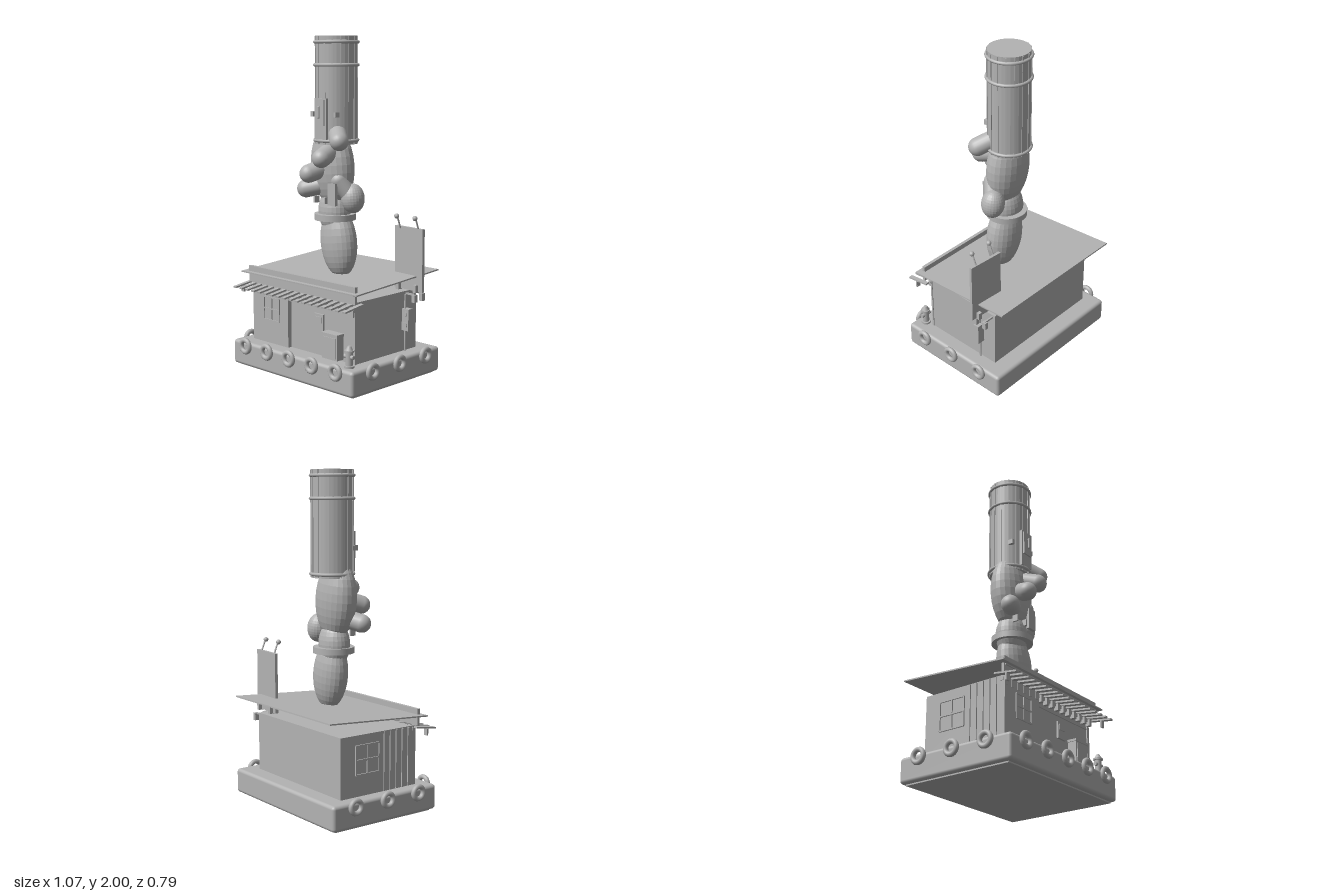
import * as THREE from 'three';
import { RoundedBoxGeometry } from 'three/addons/geometries/RoundedBoxGeometry.js';

export function createModel() {
  const model = new THREE.Group();
  const grey = new THREE.MeshStandardMaterial({ color: 0xb3b3b3 });
  grey.name = 'plain grey';

  const add = (name, geo, x = 0, y = 0, z = 0, parent = model) => {
    const mesh = new THREE.Mesh(geo, grey);
    mesh.name = name;
    mesh.position.set(x, y, z);
    parent.add(mesh);
    return mesh;
  };
  // box given by its limits
  const box = (name, x0, x1, y0, y1, z0, z1, parent = model) =>
    add(name, new THREE.BoxGeometry(x1 - x0, y1 - y0, z1 - z0), (x0 + x1) / 2, (y0 + y1) / 2, (z0 + z1) / 2, parent);
  const cyl = (name, r, y0, y1, x, z, n = 16, r2 = r) =>
    add(name, new THREE.CylinderGeometry(r2, r, y1 - y0, n), x, (y0 + y1) / 2, z);
  const faceted = (geo) => {
    const g = geo.toNonIndexed();
    g.computeVertexNormals();
    return g;
  };
  const ellipsoid = (name, x, y, z, rx, ry, rz, tilt = 0) => {
    const geo = new THREE.SphereGeometry(1, 24, 16).scale(rx, ry, rz).rotateZ(tilt);
    return add(name, faceted(geo), x, y, z);
  };
  // rod or capsule running between two points
  const link = (name, a, b, r, round = true) => {
    const p = new THREE.Vector3(...a), q = new THREE.Vector3(...b), d = q.clone().sub(p);
    const geo = round ? new THREE.CapsuleGeometry(r, d.length(), 8, 20) : new THREE.CylinderGeometry(r, r, d.length(), 10);
    const mesh = add(name, geo);
    mesh.position.copy(p).add(q).multiplyScalar(0.5);
    mesh.quaternion.setFromUnitVectors(new THREE.Vector3(0, 1, 0), d.normalize());
    return mesh;
  };

  // floating base with tyre fenders
  add('base', new RoundedBoxGeometry(1.01, 0.15, 0.76, 3, 0.02), 0, 0.083, -0.01);
  box('baseUnderside', -0.48, 0.48, 0, 0.02, -0.36, 0.34);
  const tyre = new THREE.TorusGeometry(0.037, 0.0145, 10, 24);
  for (let i = -2; i <= 2; i++) add('frontTyre', tyre, i * 0.191, 0.137, 0.38);
  for (const side of [-1, 1]) {
    for (const z of [0.217, -0.012, -0.242]) add('sideTyre', tyre, side * 0.52, 0.137, z).rotation.y = Math.PI / 2;
  }

  // house
  box('house', -0.426, 0.41, 0.15, 0.515, -0.28, 0.245);
  box('frontBay', -0.426, -0.115, 0.155, 0.51, 0.245, 0.272);
  box('shutterRail', -0.115, 0.39, 0.438, 0.446, 0.245, 0.252);
  box('cornerPost', 0.395, 0.415, 0.155, 0.515, 0.24, 0.252);

  // bay window and side window frames
  const windowFrame = (name, w, h) => {
    const g = new THREE.Group();
    g.name = name;
    for (const u of [-1, 0, 1]) {
      box('upright', u * w / 2 - 0.004, u * w / 2 + 0.004, -h / 2, h / 2, 0, 0.008, g);
      box('crossbar', -w / 2, w / 2, u * h / 2 - 0.004, u * h / 2 + 0.004, 0, 0.008, g);
    }
    model.add(g);
    return g;
  };
  windowFrame('bayWindow', 0.135, 0.14).position.set(-0.258, 0.37, 0.27);
  const sideWindow = windowFrame('sideWindow', 0.17, 0.17);
  sideWindow.position.set(-0.426, 0.37, -0.09);
  sideWindow.rotation.y = -Math.PI / 2;
  for (let i = 0; i < 5; i++) box('sideBoard', -0.433, -0.425, 0.16, 0.51, 0.03 + i * 0.045, 0.04 + i * 0.045);

  // sloping roof and its front board
  const roof = add('roof', new THREE.BoxGeometry(0.97, 0.008, 0.713), -0.005, 0.598, -0.045);
  roof.rotation.x = Math.atan2(0.045, 0.71);
  box('roofBoard', -0.448, 0.445, 0.515, 0.58, 0.268, 0.284);
  box('roofBoardCap', -0.448, 0.445, 0.58, 0.615, 0.266, 0.286);
  box('roofBoardRail', -0.44, 0.44, 0.563, 0.57, 0.284, 0.292);

  // slatted awning
  for (let i = 0; i < 18; i++) {
    const x = -0.465 + i * 0.0541;
    add('awningSlat', new THREE.BoxGeometry(0.025, 0.01, 0.15), x, 0.502, 0.312).rotation.x = 0.14;
    if (i % 17 === 0) box('awningLamp', x - 0.014, x + 0.014, 0.455, 0.495, 0.315, 0.325);
    else box('awningTab', x - 0.011, x + 0.011, 0.46, 0.5, 0.247, 0.275);
  }
  box('awningBeam', -0.43, 0.42, 0.485, 0.505, 0.245, 0.262);

  // front wall fittings
  box('wallNotice', 0.09, 0.163, 0.305, 0.405, 0.245, 0.257);
  box('noticeBand', 0.1, 0.153, 0.355, 0.39, 0.255, 0.262);
  box('storageBox', 0.2, 0.318, 0.17, 0.31, 0.245, 0.3);
  box('storageLid', 0.195, 0.323, 0.308, 0.322, 0.245, 0.305);
  box('storageDoor', 0.21, 0.308, 0.18, 0.3, 0.298, 0.305);

  // hydrant
  cyl('hydrantFoot', 0.03, 0.155, 0.17, 0.42, 0.305);
  cyl('hydrantBody', 0.02, 0.17, 0.25, 0.42, 0.305);
  cyl('hydrantCollar', 0.028, 0.248, 0.258, 0.42, 0.305);
  cyl('hydrantCap', 0.022, 0.258, 0.282, 0.42, 0.305, 16, 0.01);
  link('hydrantNozzles', [0.385, 0.22, 0.305], [0.455, 0.22, 0.305], 0.012, false);

  // meter on the side wall
  box('meter', 0.41, 0.46, 0.285, 0.415, -0.192, -0.152);
  for (const y of [0.32, 0.385]) {
    add('meterDial', new THREE.CylinderGeometry(0.015, 0.015, 0.01, 14), 0.437, y, -0.15).rotation.x = Math.PI / 2;
  }
  link('meterPipe', [0.42, 0.155, -0.17], [0.42, 0.5, -0.17], 0.006, false);
  for (const z of [-0.19, -0.26]) {
    box('eaveLamp', 0.462, 0.485, 0.455, 0.5, z - 0.014, z + 0.014);
    box('eaveLampArm', 0.405, 0.475, 0.495, 0.505, z - 0.005, z + 0.005);
  }

  // rooftop sign with two lamps
  const sign = new THREE.Group();
  sign.name = 'sign';
  sign.position.set(0.413, 0, -0.212);
  sign.rotation.y = -0.07;
  model.add(sign);
  box('signBoard', -0.112, 0.113, 0.52, 0.892, -0.009, 0.009, sign);
  for (const x of [-0.07, 0.07]) {
    box('signFoot', x - 0.012, x + 0.012, 0.515, 0.56, -0.03, 0.03, sign);
    const y = 0.95, wx = 0.413 + x;
    link('signLampArm', [wx, 0.88, -0.21], [wx, y, -0.182], 0.005, false);
    add('signLamp', new THREE.SphereGeometry(0.015, 12, 8), wx, y + 0.005, -0.175);
  }

  // arm: lower part, wrist and palm
  ellipsoid('lowerArm', 0.03, 0.785, -0.01, 0.125, 0.215, 0.092, 0.12);
  ellipsoid('wrist', 0.0, 0.97, -0.005, 0.105, 0.14, 0.09);
  cyl('wristBand', 0.124, 0.918, 0.955, 0.005, -0.005, 32);
  ellipsoid('palm', -0.012, 1.24, 0.0, 0.15, 0.245, 0.105, 0.1);

  // fingers curled round the front
  const fingers = [
    [[0.08, 1.43, 0.05], [0.138, 1.395, 0.098]],
    [[0.03, 1.32, 0.08], [0.05, 1.295, 0.155]],
    [[-0.03, 1.225, 0.08], [-0.055, 1.2, 0.155]],
    [[-0.07, 1.12, 0.05], [-0.142, 1.1, 0.092]],
  ];
  for (const [a, b] of fingers) link('finger', a, b, 0.055);
  link('thumbJoint', [0.08, 1.16, 0.04], [0.12, 1.08, 0.0], 0.05);
  ellipsoid('thumb', 0.138, 1.055, -0.018, 0.07, 0.088, 0.07, 0.1);
  box('wristDevice', 0.04, 0.103, 1.015, 1.145, 0.076, 0.096);
  for (const x of [-0.07, 0.015]) box('wristClip', x - 0.006, x + 0.006, 1.02, 1.06, 0.06, 0.095);

  // held cylinder with ribs, hoops and door
  const cz = -0.02;
  add('column', faceted(new THREE.CylinderGeometry(0.124, 0.124, 0.63, 32)), 0, 1.685, cz);
  for (const y of [1.965, 1.832, 1.392]) {
    add('columnHoop', new THREE.TorusGeometry(0.127, 0.01, 8, 40), 0, y, cz).rotation.x = Math.PI / 2;
  }
  for (let i = 0; i < 16; i++) {
    const a = (i + 0.5) * Math.PI / 8;
    add('columnRib', new THREE.BoxGeometry(0.008, 0.625, 0.006), Math.sin(a) * 0.125, 1.685, cz + Math.cos(a) * 0.125).rotation.y = a;
  }
  box('columnDoor', -0.05, 0.045, 1.4, 1.64, 0.085, 0.113);
  box('doorPlate', -0.04, 0.035, 1.48, 1.63, 0.113, 0.122);
  link('doorHandle', [0, 1.53, 0.128], [0, 1.59, 0.128], 0.007);
  for (const x of [-0.1, 0.088]) box('columnLatch', x - 0.01, x + 0.01, 1.53, 1.56, 0.05, 0.085);

  return model;
}
